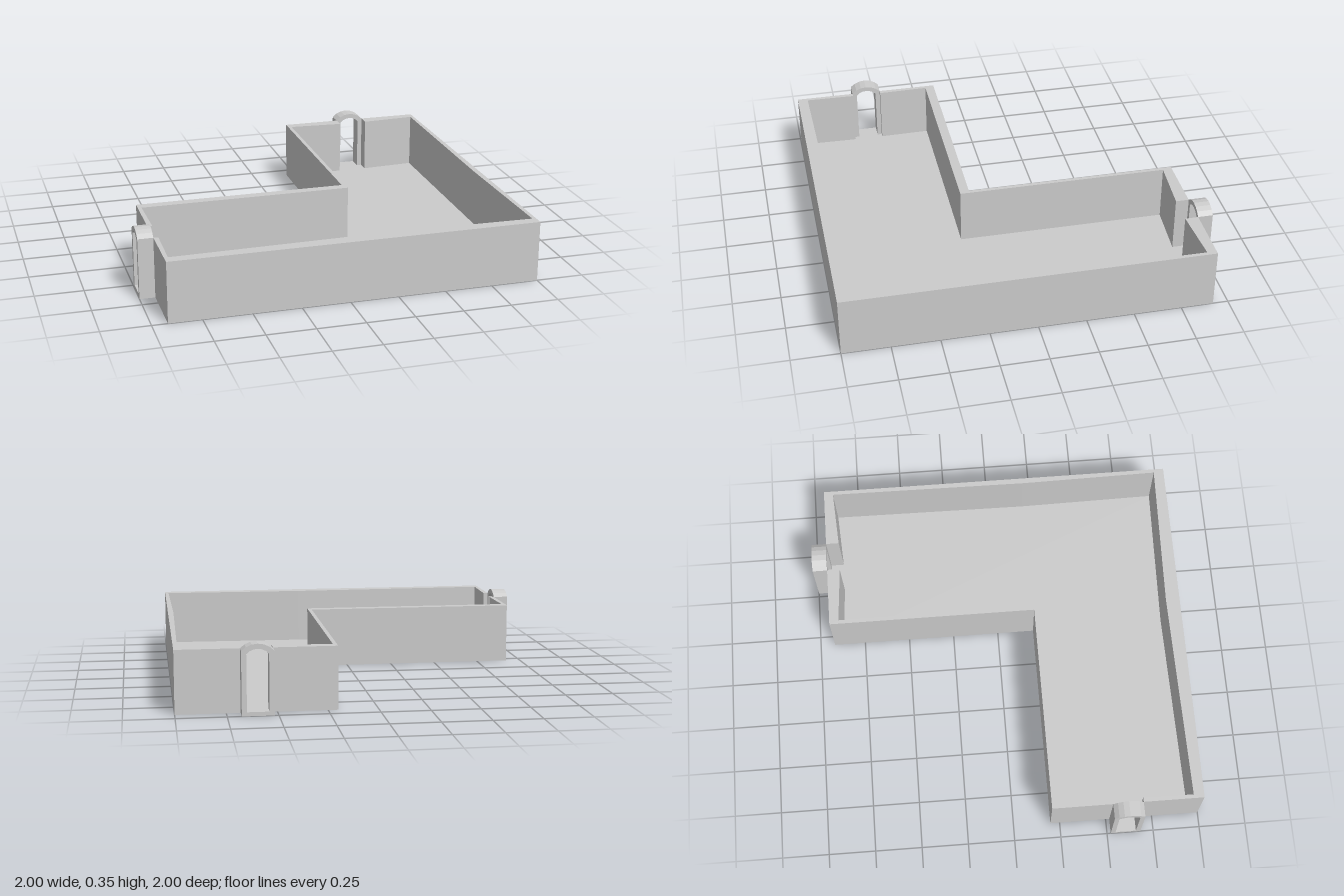
import * as THREE from 'three';

const material = new THREE.MeshStandardMaterial({ color: 0xcccccc, flatShading: true });
const H = 0.32;      // wall height
const FLOOR = 0.02;  // floor thickness

// Extrude a plan outline given as [x, z] upward from y = 0
function plan(name, points, height) {
  const shape = new THREE.Shape(points.map(([x, z]) => new THREE.Vector2(x, -z)));
  const geometry = new THREE.ExtrudeGeometry(shape, { depth: height, bevelEnabled: false });
  geometry.rotateX(-Math.PI / 2);
  const mesh = new THREE.Mesh(geometry, material);
  mesh.name = name;
  return mesh;
}

// Upright outline closed by a shallow segmented arch
function archPoints(halfWidth, bottom, spring, rise, segments = 6) {
  const r = (halfWidth * halfWidth + rise * rise) / (2 * rise);
  const a = Math.asin(halfWidth / r);
  const points = [new THREE.Vector2(-halfWidth, bottom), new THREE.Vector2(halfWidth, bottom)];
  for (let i = 0; i <= segments; i++) {
    const t = a - (2 * a * i) / segments;
    points.push(new THREE.Vector2(r * Math.sin(t), spring + rise - r + r * Math.cos(t)));
  }
  return points;
}

// Arched doorway frame, 0.08 deep
function doorway(name) {
  const shape = new THREE.Shape(archPoints(0.08, 0, H, 0.035));
  shape.holes.push(new THREE.Path(archPoints(0.055, FLOOR, 0.305, 0.025)));
  const mesh = new THREE.Mesh(
    new THREE.ExtrudeGeometry(shape, { depth: 0.08, bevelEnabled: false }), material);
  mesh.name = name;
  return mesh;
}

export function createModel() {
  const group = new THREE.Group();
  group.name = 'lShapedTray';

  // L-shaped floor
  group.add(plan('floor', [
    [-0.92, 0.2], [0.2, 0.2], [0.2, -0.92], [1, -0.92], [1, 1], [-0.92, 1],
  ], FLOOR));

  // Walls around the inside corner, between the two doorways
  group.add(plan('innerCornerWall', [
    [-0.92, 0.52], [-0.92, 0.2], [0.2, 0.2], [0.2, -0.92], [0.52, -0.92],
    [0.52, -0.85], [0.22, -0.87], [0.22, 0.25], [-0.9, 0.25], [-0.895, 0.52],
  ], H));

  // Walls around the outside corner, with slightly bowed inner faces
  group.add(plan('outerCornerWall', [
    [0.68, -0.92], [1, -0.92], [1, 1], [-0.92, 1], [-0.92, 0.68],
    [-0.895, 0.68], [-0.9, 0.945], [0.2, 0.925], [0.98, 0.945],
    [0.97, 0.2], [0.98, -0.87], [0.68, -0.85],
  ], H));

  // Doorway frames on the two end walls
  const back = doorway('backDoorway');
  back.position.set(0.6, 0, -1);
  const side = doorway('sideDoorway');
  side.rotation.y = Math.PI / 2;
  side.position.set(-1, 0, 0.6);
  group.add(back, side);

  return group;
}
